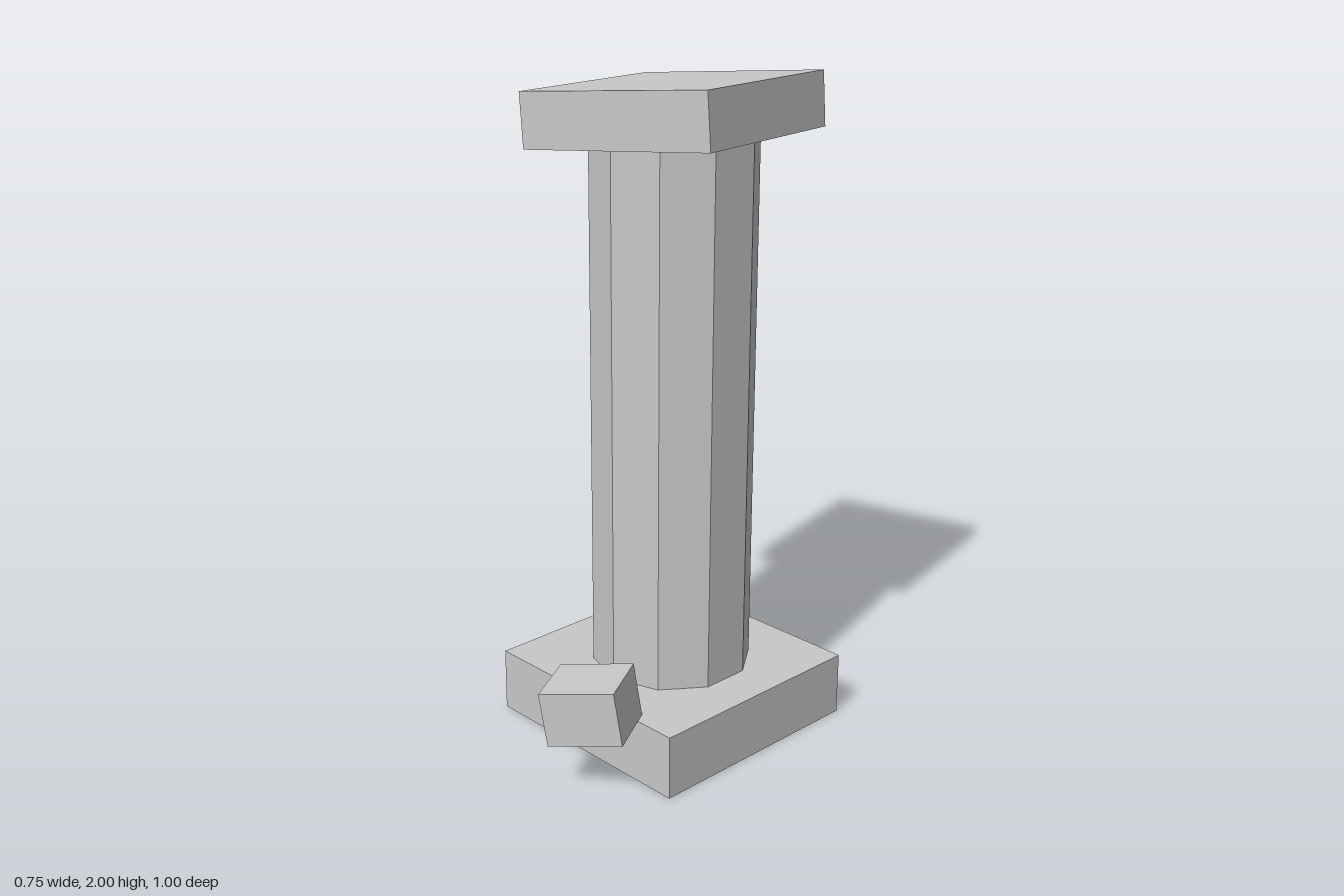
import * as THREE from 'three';

export function createModel() {
  const model = new THREE.Group();
  model.name = 'brokenPillar';
  const stone = new THREE.MeshStandardMaterial({ color: 0xc8c8c8, flatShading: true });
  stone.name = 'light grey stone';

  const Z = -0.13; // pillar axis

  function add(name, geometry, position, yaw = 0, tilt = 0) {
    const mesh = new THREE.Mesh(geometry, stone);
    mesh.name = name;
    mesh.position.set(...position);
    mesh.rotation.set(0, THREE.MathUtils.degToRad(yaw), THREE.MathUtils.degToRad(tilt));
    model.add(mesh);
  }

  // Square plinth
  add('base', new THREE.BoxGeometry(0.747, 0.197, 0.747), [0, 0.0985, Z]);

  // Ten-sided shaft with one edge facing the front
  add('shaft', new THREE.CylinderGeometry(0.248, 0.248, 1.626, 10), [0, 1.01, Z]);

  // Slipped capital, turned and tilted
  add('capital', new THREE.BoxGeometry(0.618, 0.16, 0.618), [0, 1.899, Z], 12, 4);

  // Loose chunk resting on the front of the plinth
  add('fallenBlock', new THREE.BoxGeometry(0.227, 0.164, 0.193), [0.163, 0.262, 0.355], 30, 9);

  return model;
}
